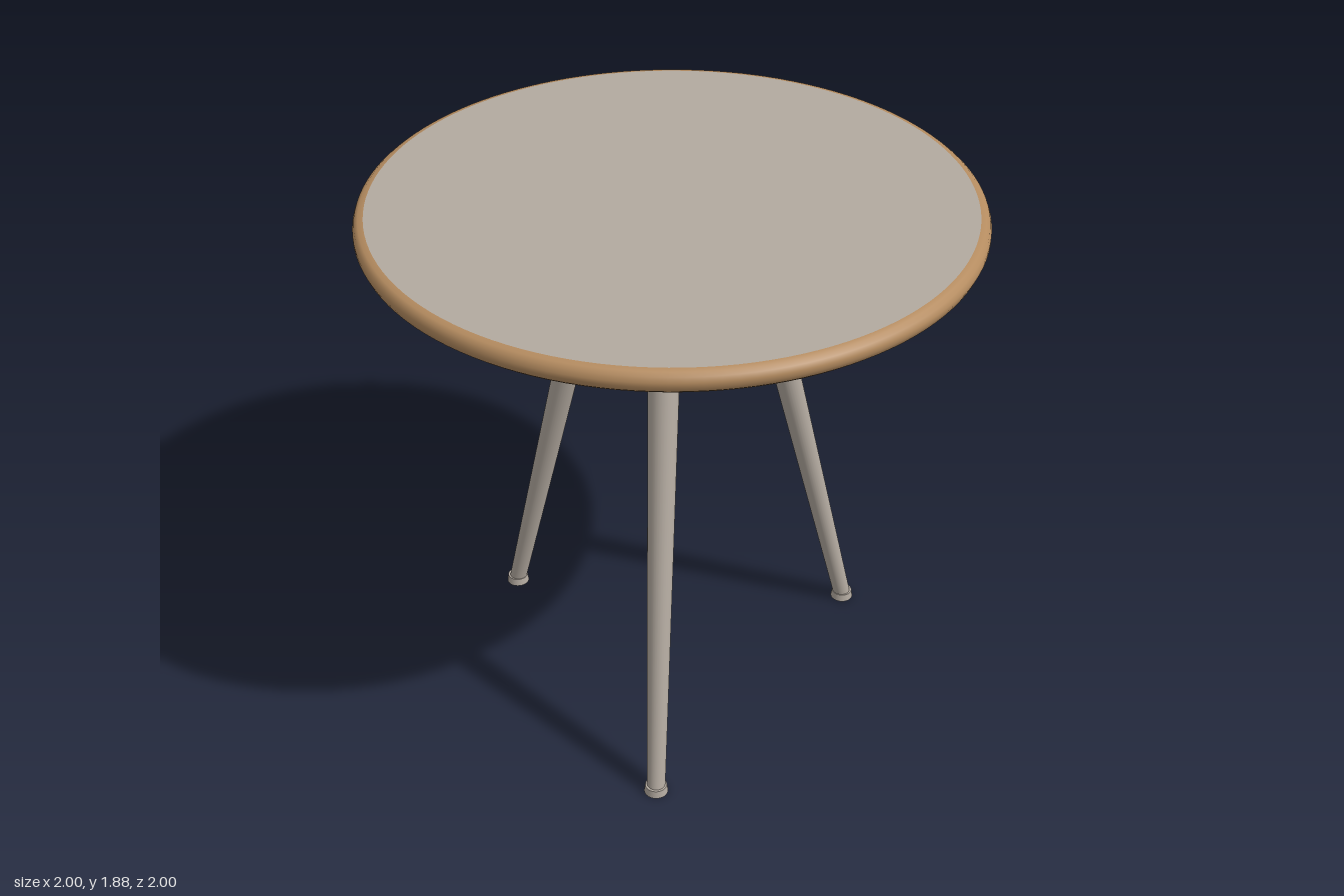
import * as THREE from 'three';

const wood = new THREE.MeshStandardMaterial({ color: 0xb58c60 });
wood.name = 'wood brown';
const grey = new THREE.MeshStandardMaterial({ color: 0xb3aaa0 });
grey.name = 'warm grey';

function addMesh(parent, name, geometry, material) {
  const mesh = new THREE.Mesh(geometry, material);
  mesh.name = name;
  parent.add(mesh);
  return mesh;
}

// Tapered leg between two points, with a small upright foot
function makeLeg(name) {
  const leg = new THREE.Group();
  leg.name = name;
  const foot = new THREE.Vector3(0.722, 0.015, 0);
  const head = new THREE.Vector3(0.26, 1.795, 0);
  const axis = head.clone().sub(foot);
  const shaft = addMesh(leg, 'legShaft', new THREE.CylinderGeometry(0.056, 0.031, axis.length(), 32), grey);
  shaft.position.copy(foot).add(head).multiplyScalar(0.5);
  shaft.quaternion.setFromUnitVectors(new THREE.Vector3(0, 1, 0), axis.normalize());
  const pad = addMesh(leg, 'legFoot', new THREE.CylinderGeometry(0.037, 0.041, 0.028, 32), grey);
  pad.position.set(foot.x, 0.014, 0);
  return leg;
}

export function createModel() {
  const table = new THREE.Group();
  table.name = 'roundTable';

  // Rounded wooden rim
  const profile = [
    [0.965, 1.8], [0.98, 1.804], [0.993, 1.815], [1, 1.832],
    [1, 1.846], [0.994, 1.862], [0.982, 1.872], [0.965, 1.875],
  ].map(([r, y]) => new THREE.Vector2(r, y));
  addMesh(table, 'tabletopRim', new THREE.LatheGeometry(profile, 128), wood);

  // Flat underside and grey top surface
  const underside = addMesh(table, 'tabletopUnderside', new THREE.CircleGeometry(0.965, 128), wood);
  underside.rotation.x = Math.PI / 2;
  underside.position.y = 1.8;
  const surface = addMesh(table, 'tabletopSurface', new THREE.CircleGeometry(0.965, 128), grey);
  surface.rotation.x = -Math.PI / 2;
  surface.position.y = 1.875;

  // Three splayed legs, evenly spaced
  ['frontLeftLeg', 'backLeftLeg', 'rightLeg'].forEach((name, i) => {
    const leg = makeLeg(name);
    leg.rotation.y = [-Math.PI / 3, Math.PI / 3, Math.PI][i];
    table.add(leg);
  });

  return table;
}
